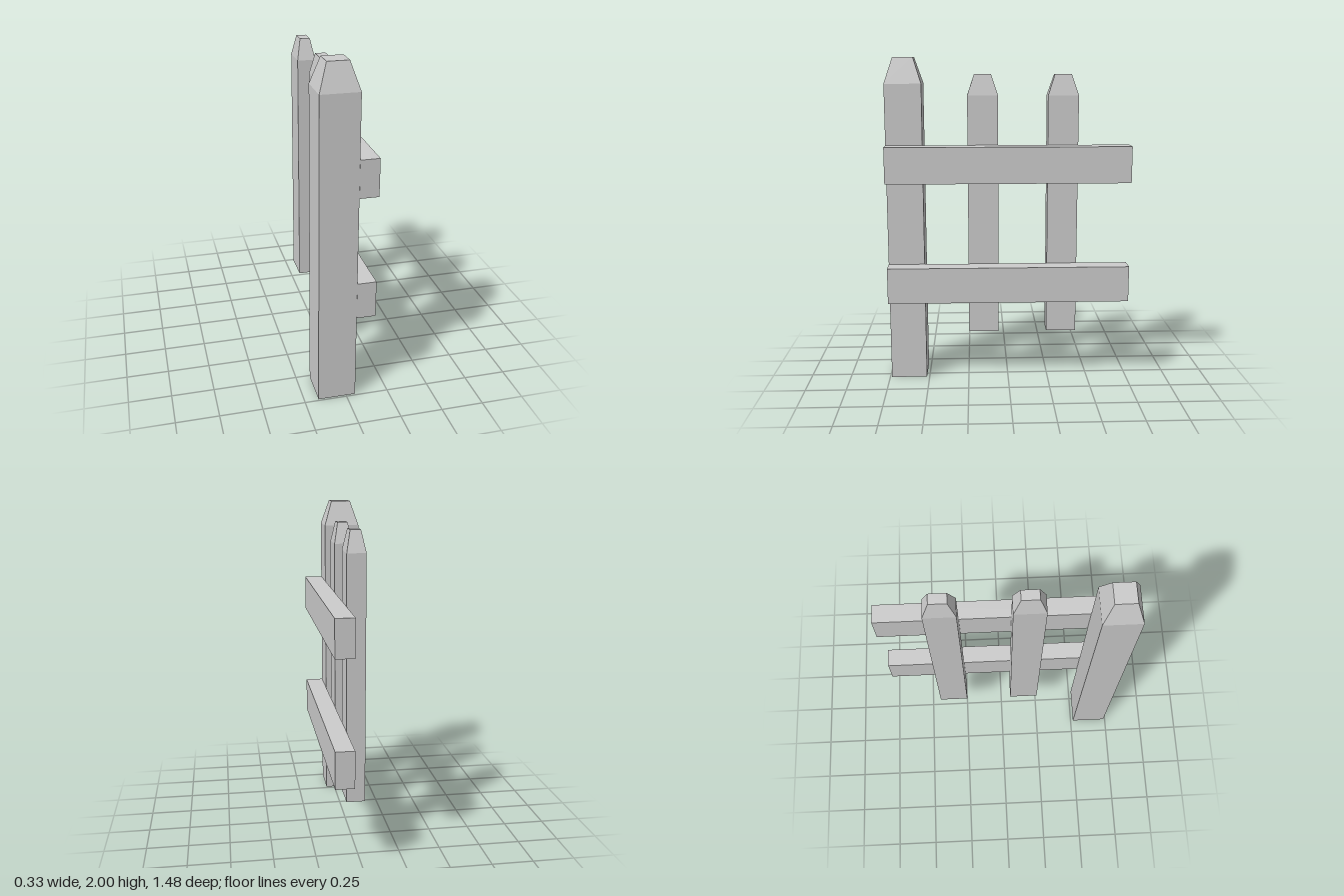
import * as THREE from 'three';

const material = new THREE.MeshStandardMaterial({ color: 0xcccccc, flatShading: true });
const TIP_SCALE = 0.55;

// Upright stake: a box whose top ring narrows above the shoulder
function makeStake(name, { width, depth, bottom, shoulder, top, x, z }) {
  let geometry = new THREE.BoxGeometry(width, 2, depth, 1, 2, 1);
  const p = geometry.attributes.position;
  for (let i = 0; i < p.count; i++) {
    const level = Math.round(p.getY(i)) + 1;
    p.setY(i, [bottom, shoulder, top][level]);
    if (level === 2) {
      p.setX(i, p.getX(i) * TIP_SCALE);
      p.setZ(i, p.getZ(i) * TIP_SCALE);
    }
  }
  geometry = geometry.toNonIndexed();
  geometry.computeVertexNormals();
  const mesh = new THREE.Mesh(geometry, material);
  mesh.name = name;
  mesh.position.set(x, 0, z);
  return mesh;
}

export function createModel() {
  const fence = new THREE.Group();
  fence.name = 'fenceSection';

  // Thick end post standing on the ground
  fence.add(makeStake('post', {
    width: 0.222, depth: 0.222, bottom: 0, shoulder: 1.845, top: 2, x: -0.056, z: 0.628,
  }));

  // Thin pickets hanging clear of the ground
  [0.152, -0.334].forEach((z, i) => {
    fence.add(makeStake(`picket${i + 1}`, {
      width: 0.111, depth: 0.185, bottom: 0.3, shoulder: 1.775, top: 1.9, x: 0, z,
    }));
  });

  // Horizontal rails along the left face
  [['lowerRail', 0.63], ['upperRail', 1.368]].forEach(([name, y]) => {
    const rail = new THREE.Mesh(new THREE.BoxGeometry(0.111, 0.22, 1.478), material);
    rail.name = name;
    rail.position.set(0.111, y, 0);
    fence.add(rail);
  });

  return fence;
}
